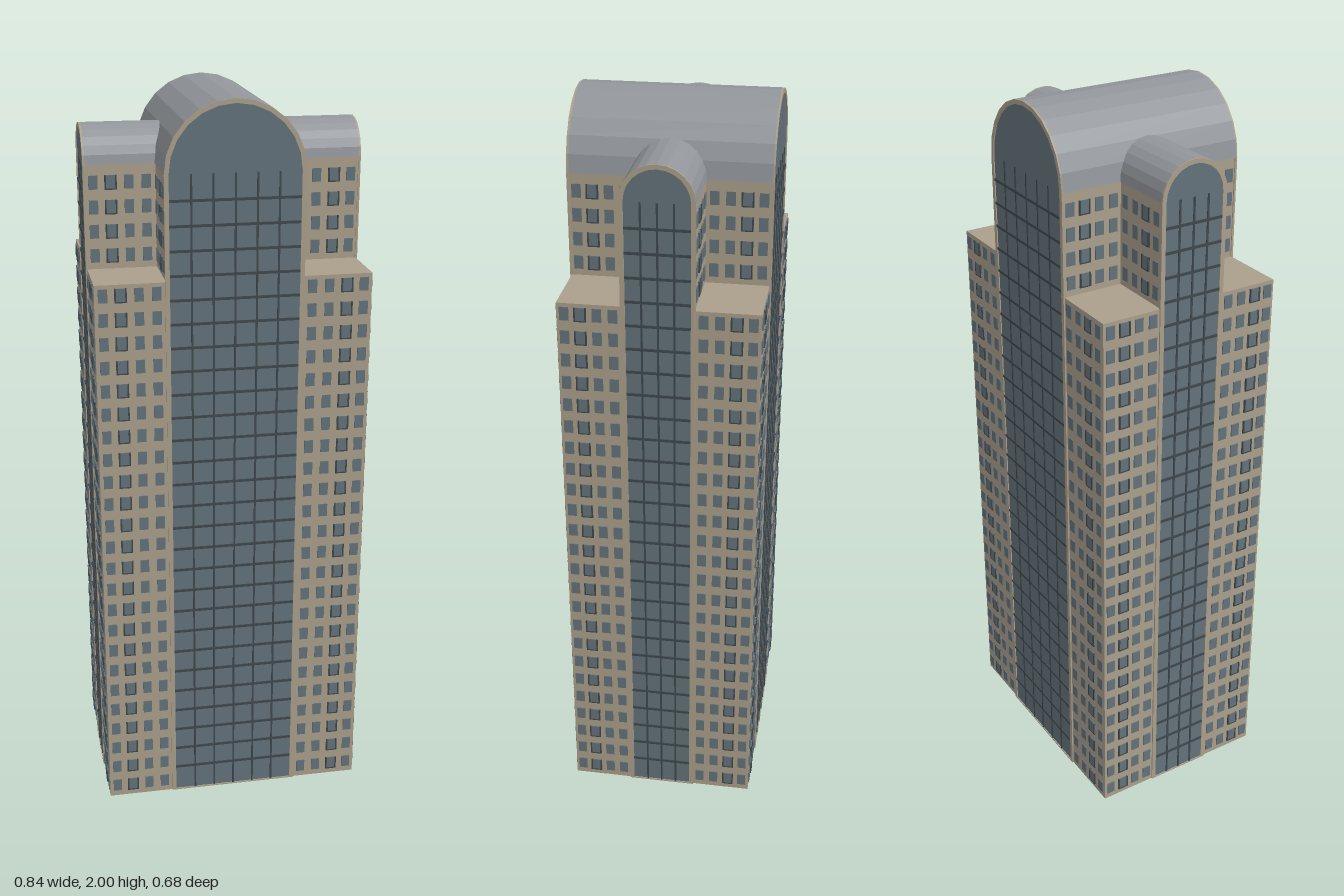
import * as THREE from 'three';
import { mergeGeometries } from 'three/addons/utils/BufferGeometryUtils.js';

const mat = (name, color) => Object.assign(new THREE.MeshStandardMaterial({ color }), { name });

const HX = 0.366, HZ = 0.259;          // half width and half depth of the tower
const SHOULDER = 1.545, SPRING = 1.82; // flat roof height, start of the vaults
const R_MAIN = 0.18, R_SIDE = 0.092;   // vault radii
const FLOOR = SHOULDER / 24;

// Tall shape with a round top
function archShape(r, spring = SPRING, base = 0) {
  const s = new THREE.Shape();
  s.moveTo(-r, base);
  s.lineTo(r, base);
  s.lineTo(r, spring);
  s.absarc(0, spring, r, 0, Math.PI, false);
  s.lineTo(-r, base);
  return s;
}

// Half ring used for the vault shells
function ringShape(inner, outer) {
  const s = new THREE.Shape();
  s.moveTo(outer, SPRING);
  s.absarc(0, SPRING, outer, 0, Math.PI, false);
  s.lineTo(-inner, SPRING);
  s.absarc(0, SPRING, inner, Math.PI, 0, true);
  return s;
}

// Extrusion with its front at z = front
function extrude(shape, depth, front) {
  return new THREE.ExtrudeGeometry(shape, { depth, bevelEnabled: false, curveSegments: 6 })
    .translate(0, 0, front - depth);
}

const box = (w, h, d, x, y, z) => new THREE.BoxGeometry(w, h, d).translate(x, y, z);

export function createModel() {
  const stone = mat('tan stone', 0xab9f8b);
  const glass = mat('blue grey glass', 0x63727b);
  const bars = mat('dark window bars', 0x3f484d);
  const roof = mat('grey metal roof', 0x92969b);

  const model = new THREE.Group();
  model.name = 'tower';
  const turned = new THREE.Group();
  turned.name = 'turnedTower';
  turned.rotation.y = 0.242;
  model.add(turned);

  const add = (name, geometry, material, parent = turned) => {
    const m = new THREE.Mesh(geometry, material);
    m.name = name;
    parent.add(m);
    return m;
  };

  // Main shaft and the two crossing vaulted blocks
  add('shaft', box(HX * 2, SHOULDER, HZ * 2, 0, SHOULDER / 2, 0), stone);
  const crossings = [['main', R_MAIN, HZ, 0], ['side', R_SIDE, HX, Math.PI / 2]];
  for (const [name, r, half, turn] of crossings) {
    const g = new THREE.Group();
    g.name = name + 'VaultBlock';
    g.rotation.y = turn;
    turned.add(g);
    add(name + 'Walls', extrude(archShape(r, SPRING, SHOULDER - 0.02), half * 2, half), stone, g);
    add(name + 'VaultRoof', extrude(ringShape(r - 0.003, r + 0.003), half * 2, half), roof, g);
  }

  // Columns of windows in one strip of wall, running from the inner to the outer edge
  function windowStrip(list, barList, inner, outer, z, first, last) {
    const width = outer - inner;
    for (let f = first; f < last; f++) {
      const y = (f + 0.56) * FLOOR;
      [0.12, 0.37, 0.63, 0.88].forEach((t, i) => {
        const x = inner + width * t;
        const bay = i === 2;
        list.push(box(bay ? 0.032 : 0.024, 0.036, 0.006, x, y, z));
        // bay window with dark posts and sill
        if (bay) {
          for (const s of [-1, 1]) barList.push(box(0.004, 0.037, 0.009, x + s * 0.014, y, z));
          barList.push(box(0.032, 0.003, 0.009, x, y - 0.018, z));
        }
      });
    }
  }

  // Four facades
  for (let k = 0; k < 4; k++) {
    const main = k % 2 === 0;
    const r = main ? R_MAIN : R_SIDE;
    const dist = main ? HZ : HX;
    const halfWidth = main ? HX : HZ;
    const otherR = main ? R_SIDE : R_MAIN;
    const facade = new THREE.Group();
    facade.name = ['front', 'left', 'back', 'right'][k] + 'Facade';
    facade.rotation.y = k * Math.PI / 2;
    turned.add(facade);

    // Arched curtain wall with a stone rim
    const rim = archShape(r + 0.003);
    rim.holes.push(new THREE.Path(archShape(r - 0.009, SPRING, 0.004).getPoints(6)));
    add('archRim', extrude(rim, 0.006, dist + 0.004), stone, facade);
    add('curtainWall', extrude(archShape(r - 0.008, SPRING, 0.003), 0.006, dist + 0.001), glass, facade);

    // Grid of bars over the glass
    const inner = r - 0.009;
    const grid = [];
    const bays = main ? 6 : 4;
    for (let i = 1; i < bays; i++)
      grid.push(box(0.005, SPRING, 0.003, -inner + (2 * inner * i) / bays, SPRING / 2, dist + 0.002));
    for (let f = 1; f <= 27; f++)
      grid.push(box(inner * 2, 0.007, 0.003, 0, f * FLOOR + 0.015, dist + 0.0025));
    add('curtainWallBars', mergeGeometries(grid), bars, facade);

    // Windows on the shaft, and on the set-back block walls above the shoulders
    const panes = [], posts = [];
    for (const s of [-1, 1]) {
      windowStrip(panes, posts, s * (r + 0.003), s * halfWidth, dist, 0, 24);
      windowStrip(panes, posts, s * (r + 0.003), s * halfWidth, otherR, 24, 28);
    }
    add('windows', mergeGeometries(panes), glass, facade);
    add('bayWindowPosts', mergeGeometries(posts), bars, facade);
  }

  return model;
}
